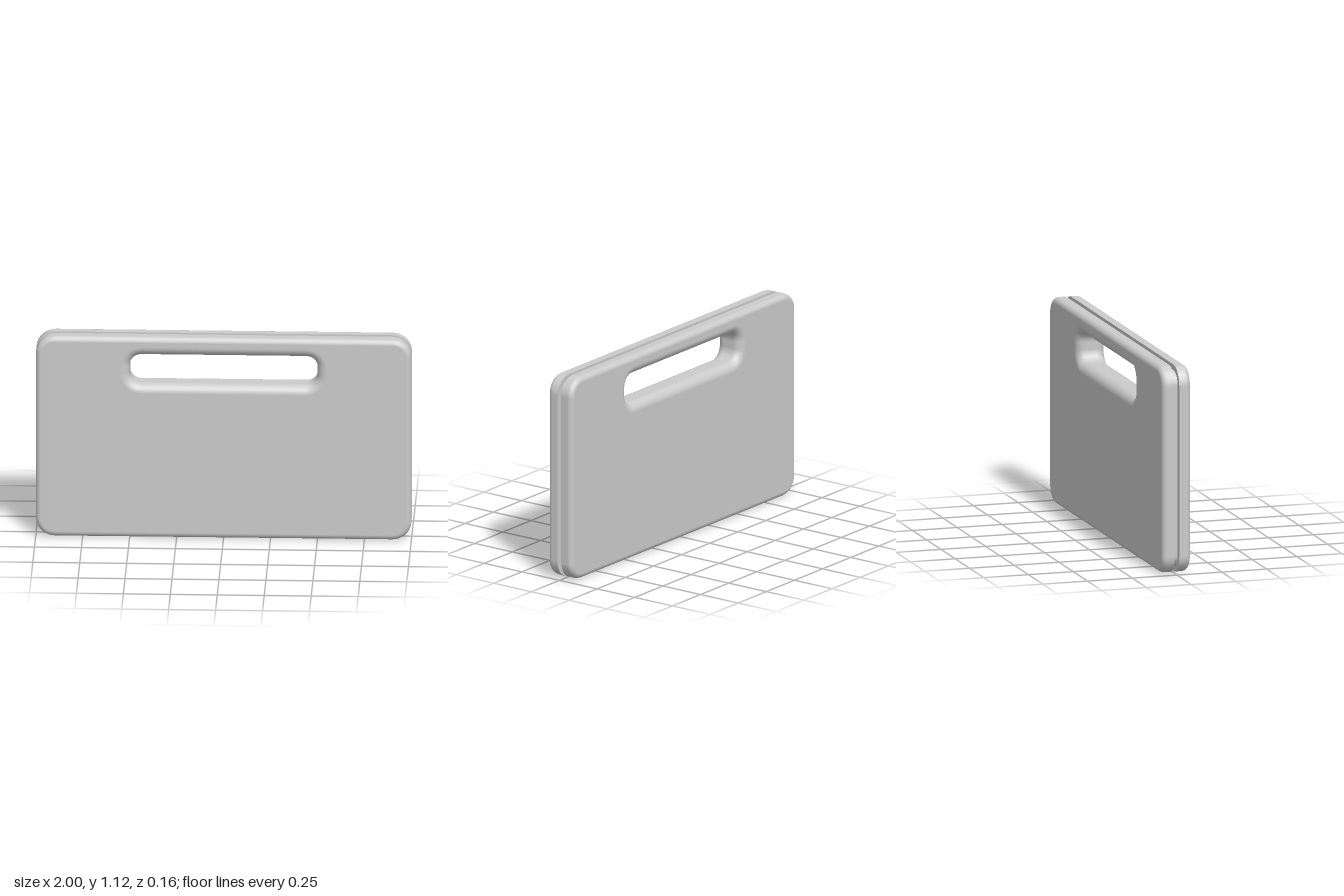
import * as THREE from 'three';
import { mergeGeometries } from 'three/addons/utils/BufferGeometryUtils.js';

const CORNER_STEPS = 5;
const OUTER = { w: 1, h: 0.5625, cy: 0.5625, r: 0.1 };   // board outline
const HOLE = { w: 0.5, h: 0.08, cy: 0.94, r: 0.06 };     // handle slot
const HALF = 0.08, GAP = 0.0125, GROOVE = 0.03;          // half thickness, half groove width, groove depth
const EDGE = 0.03, LIP = 0.05;                           // rounding of the rim and of the slot

// Skins rounded-rectangle rings; each station is { rect, grow, z, a },
// where a tilts the normal from outward (0) to forward (PI / 2).
function loft(stations) {
  const pos = [], nor = [], idx = [];
  const n = 4 * (CORNER_STEPS + 1);
  for (const { rect, grow, z, a } of stations) {
    for (let c = 0; c < 4; c++) {
      const sx = c === 0 || c === 3 ? 1 : -1, sy = c < 2 ? 1 : -1;
      for (let i = 0; i <= CORNER_STEPS; i++) {
        const t = (c + i / CORNER_STEPS) * Math.PI / 2;
        const dx = Math.cos(t), dy = Math.sin(t);
        pos.push(sx * (rect.w - rect.r) + dx * (rect.r + grow),
          rect.cy + sy * (rect.h - rect.r) + dy * (rect.r + grow), z);
        nor.push(dx * Math.cos(a), dy * Math.cos(a), Math.sin(a));
      }
    }
  }
  for (let s = 0; s < stations.length - 1; s++) {
    for (let i = 0; i < n; i++) {
      const a = s * n + i, a2 = s * n + (i + 1) % n;
      idx.push(a, a + n, a2, a2, a + n, a2 + n);
    }
  }
  const g = new THREE.BufferGeometry();
  g.setAttribute('position', new THREE.Float32BufferAttribute(pos, 3));
  g.setAttribute('normal', new THREE.Float32BufferAttribute(nor, 3));
  g.setIndex(idx);
  return g;
}

// One half of the board: slot wall, rounded lip, face, rounded rim, side wall
function panelGeometry() {
  const st = [{ rect: HOLE, grow: 0, z: GAP, a: Math.PI }];
  const lipSteps = 6, edgeSteps = 4;
  for (let i = 0; i <= lipSteps; i++) {
    const a = Math.PI * (1 - 0.5 * i / lipSteps);
    st.push({ rect: HOLE, grow: LIP * (1 + Math.cos(a)), z: HALF - LIP + LIP * Math.sin(a), a });
  }
  for (let i = 0; i <= edgeSteps; i++) {
    const a = Math.PI / 2 * (1 - i / edgeSteps);
    st.push({ rect: OUTER, grow: EDGE * (Math.cos(a) - 1), z: HALF - EDGE + EDGE * Math.sin(a), a });
  }
  st.push({ rect: OUTER, grow: 0, z: GAP, a: 0 });
  const grooveSide = loft([
    { rect: OUTER, grow: 0, z: GAP, a: -Math.PI / 2 },
    { rect: OUTER, grow: -GROOVE, z: GAP, a: -Math.PI / 2 },
  ]);
  return mergeGeometries([loft(st), grooveSide]);
}

// Recessed middle layer: groove floor and the middle of the slot wall
function coreGeometry() {
  return mergeGeometries([
    loft([
      { rect: OUTER, grow: -GROOVE, z: GAP, a: 0 },
      { rect: OUTER, grow: -GROOVE, z: -GAP, a: 0 },
    ]),
    loft([
      { rect: HOLE, grow: 0, z: -GAP, a: Math.PI },
      { rect: HOLE, grow: 0, z: GAP, a: Math.PI },
    ]),
  ]);
}

export function createModel() {
  const group = new THREE.Group();
  group.name = 'handledBoard';
  const material = new THREE.MeshStandardMaterial({ color: 0xcccccc });
  const add = (name, geometry) => {
    const mesh = new THREE.Mesh(geometry, material);
    mesh.name = name;
    group.add(mesh);
    return mesh;
  };
  const panel = panelGeometry();
  add('frontPanel', panel);
  add('backPanel', panel).rotation.y = Math.PI;
  add('core', coreGeometry());
  return group;
}
